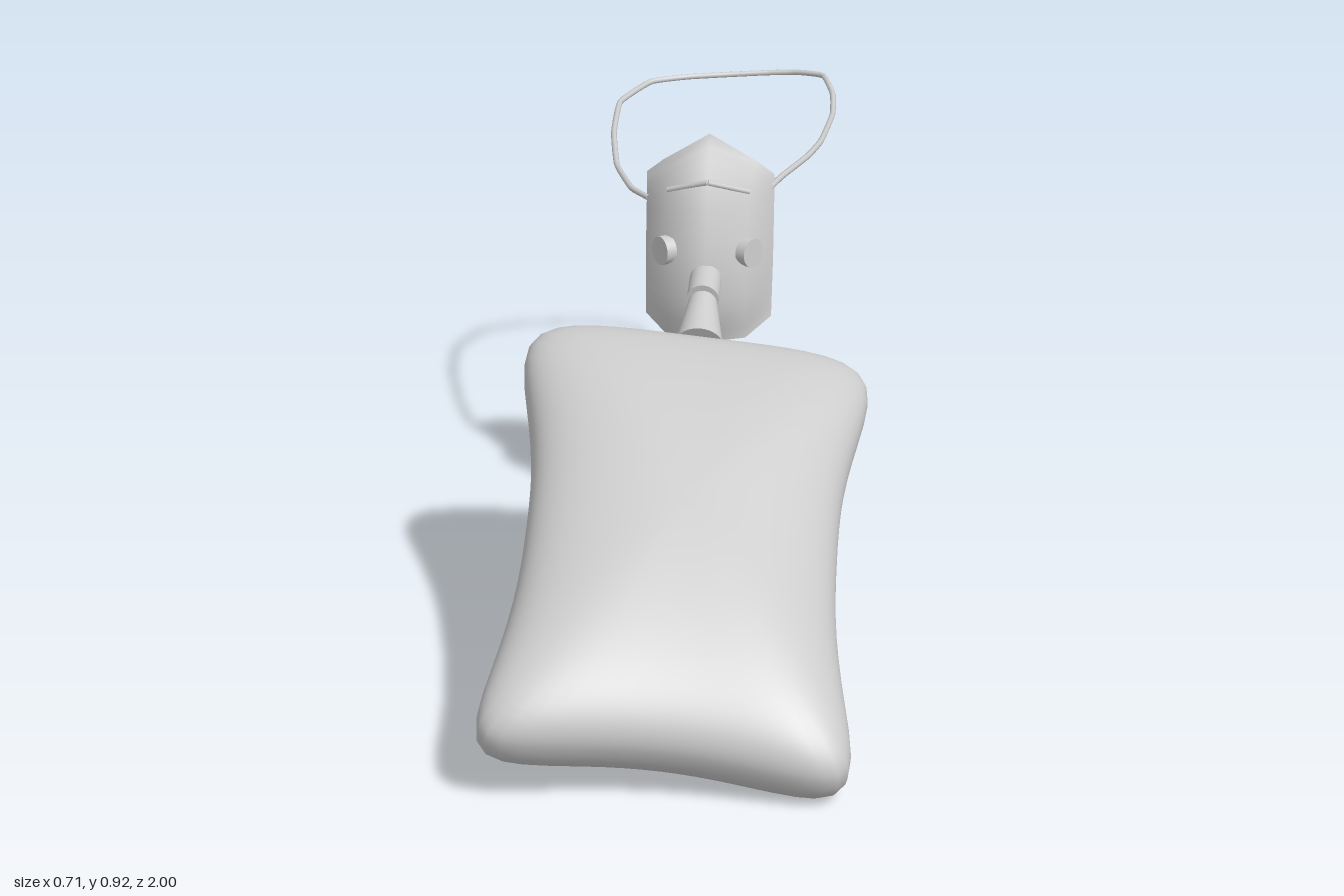
import * as THREE from 'three';
import { mergeVertices, toCreasedNormals } from 'three/addons/utils/BufferGeometryUtils.js';

const material = new THREE.MeshStandardMaterial({ color: 0xcccccc });
const thinMaterial = new THREE.MeshStandardMaterial({ color: 0xcccccc, side: THREE.DoubleSide });
const V = (x, y, z) => new THREE.Vector3(x, y, z);

function part(name, geometry, mat = material) {
  const mesh = new THREE.Mesh(geometry, mat);
  mesh.name = name;
  return mesh;
}

// Cylinder or cone running from point a to point b
function rod(name, a, b, ra, rb, sides = 28) {
  const mesh = part(name, new THREE.CylinderGeometry(rb, ra, a.distanceTo(b), sides));
  mesh.position.copy(a).lerp(b, 0.5);
  mesh.quaternion.setFromUnitVectors(V(0, 1, 0), b.clone().sub(a).normalize());
  return mesh;
}

// Pillow: a sphere spread into a rounded rectangle with pulled-out corners
function bagGeometry() {
  let geo = new THREE.SphereGeometry(1, 80, 48);
  geo.deleteAttribute('uv');
  geo.deleteAttribute('normal');
  geo = mergeVertices(geo, 1e-5);
  const p = geo.attributes.position;
  const n = 4.6;
  for (let i = 0; i < p.count; i++) {
    const x = p.getX(i), y = p.getY(i), z = p.getZ(i);
    const r = Math.hypot(x, z);
    const k = r > 1e-6 ? r / (Math.abs(x / r) ** n + Math.abs(z / r) ** n) ** (1 / n) / r : 0;
    const sx = x * k, sz = z * k;
    const lengthwise = sz > 0 ? 0.525 * (1 + 0.19 * sx * sx) : 0.545;
    p.setXYZ(i,
      0.31 * sx * (1 + 0.48 * Math.abs(sz) ** 2.6),
      0.155 * (1 + 0.12 * sz) * Math.sign(y) * Math.abs(y) ** 0.8,
      sz * lengthwise);
  }
  geo.computeVertexNormals();
  return geo;
}

// Folded mask shell: centre, crease and edge lines of one half, top to bottom
function maskGeometry() {
  const lines = [
    [[0, 0.918, -0.305], [0, 0.845, -0.24], [0, 0.75, -0.2], [0, 0.65, -0.172], [0, 0.56, -0.167], [0, 0.487, -0.19]],
    [[0.1, 0.853, -0.32], [0.09, 0.805, -0.268], [0.085, 0.735, -0.228], [0.083, 0.65, -0.2], [0.083, 0.565, -0.195], [0.083, 0.492, -0.21]],
    [[0.137, 0.82, -0.335], [0.137, 0.775, -0.328], [0.137, 0.72, -0.314], [0.137, 0.65, -0.297], [0.136, 0.58, -0.282], [0.135, 0.52, -0.27]],
  ].map(line => new THREE.CatmullRomCurve3(line.map(q => V(...q))));
  const rows = 15, positions = [], index = [];
  for (let r = 0; r <= rows; r++) {
    const [c, m, e] = lines.map(line => line.getPoint(r / rows));
    for (const [q, s] of [[e, -1], [m, -1], [c, 1], [m, 1], [e, 1]]) positions.push(s * q.x, q.y, q.z);
  }
  for (let r = 0; r < rows; r++) {
    for (let j = 0; j < 4; j++) {
      const a = r * 5 + j, b = a + 5;
      index.push(a, b, a + 1, a + 1, b, b + 1);
    }
  }
  const geo = new THREE.BufferGeometry();
  geo.setAttribute('position', new THREE.Float32BufferAttribute(positions, 3));
  geo.setIndex(index);
  return toCreasedNormals(geo, 1.2);
}

export function createModel() {
  const model = new THREE.Group();
  model.name = 'breathingBagAndMask';

  // Inflated bag, tilted down towards the front and rolled slightly
  const bag = part('bag', bagGeometry());
  bag.position.set(0, 0.317, 0.473);
  bag.rotation.set(0.44, 0, -0.14);
  model.add(bag);

  // Neck and connector between bag and mask
  model.add(rod('neck', V(0, 0.56, 0.005), V(0, 0.615, -0.11), 0.05, 0.029));
  model.add(rod('connector', V(0, 0.62, -0.1), V(0, 0.634, -0.185), 0.034, 0.034));

  // Mask shell
  const mask = new THREE.Group();
  mask.name = 'mask';
  mask.add(part('maskShell', maskGeometry(), thinMaterial));

  // Round valves on both cheeks
  for (const side of [-1, 1]) {
    const centre = V(side * 0.09, 0.685, -0.217);
    const axis = V(side * 0.8, 0.05, 0.6).normalize().multiplyScalar(0.012);
    mask.add(rod(side > 0 ? 'leftValve' : 'rightValve',
      centre.clone().sub(axis), centre.clone().add(axis), 0.031, 0.031));
  }

  // Bent nose strip, half sunk into the shell
  const bridge = V(0, 0.832, -0.235);
  for (const side of [-1, 1]) {
    const end = V(side * 0.087, 0.803, -0.267);
    mask.add(rod(side > 0 ? 'noseStripLeft' : 'noseStripRight', bridge, end, 0.006, 0.006, 10));
  }
  model.add(mask);

  // Head strap loop
  const strapPath = [
    [-0.132, 0.765, -0.32], [-0.175, 0.765, -0.38], [-0.22, 0.768, -0.52], [-0.24, 0.795, -0.66],
    [-0.24, 0.818, -0.81], [-0.18, 0.832, -0.92], [-0.1, 0.83, -0.968], [0, 0.832, -0.988],
    [0.08, 0.836, -0.994], [0.15, 0.842, -0.985], [0.215, 0.848, -0.945], [0.24, 0.832, -0.86],
    [0.243, 0.81, -0.78], [0.225, 0.808, -0.6], [0.2, 0.806, -0.5], [0.15, 0.8, -0.38],
    [0.13, 0.797, -0.32],
  ].map(q => V(...q));
  const strapCurve = new THREE.CatmullRomCurve3(strapPath, false, 'catmullrom', 0.2);
  model.add(part('strap', new THREE.TubeGeometry(strapCurve, 90, 0.0065, 8), thinMaterial));

  return model;
}
